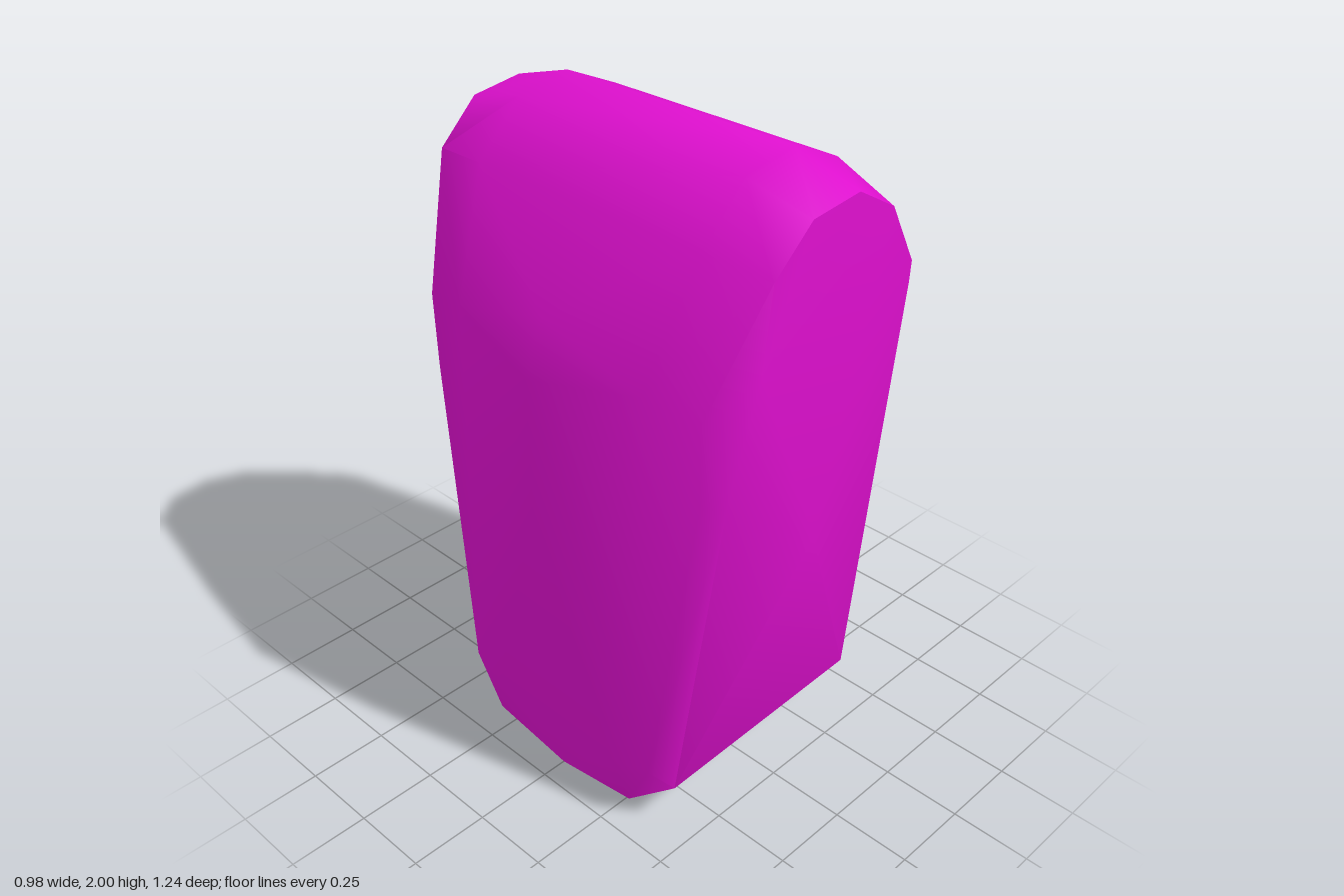
import * as THREE from 'three';
import { toCreasedNormals } from 'three/addons/utils/BufferGeometryUtils.js';
import { ConvexGeometry } from 'three/addons/geometries/ConvexGeometry.js';

// Corners mirrored to front and back: [x, y, z]
const MIRRORED = [
  // roof ridges
  [-0.27, 1.82, 0.41], [-0.12, 1.97, 0.41], [0.06, 2.0, 0.41], [0.24, 1.92, 0.405],
  // gable outline
  [-0.27, 1.56, 0.612], [-0.24, 1.8, 0.612], [-0.11, 1.92, 0.615], [0.06, 1.94, 0.618],
  [0.2, 1.86, 0.62], [0.3, 1.68, 0.62],
  // gable centre
  [-0.03, 0.97, 0.614], [-0.05, 0.72, 0.565],
  // right shoulder
  [0.395, 1.67, 0.355], [0.455, 1.6, 0.35], [0.415, 1.55, 0.54],
  // left shoulder
  [-0.42, 1.46, 0.35], [-0.385, 1.43, 0.52], [-0.38, 1.19, 0.52], [-0.335, 1.19, 0.57],
  // foot
  [0.38, 0.19, 0.445], [0.48, 0.2, 0.25], [-0.37, 0.15, 0.43], [-0.43, 0.22, 0.38],
  [-0.45, 0.2, 0.25], [0.46, 0.05, 0.29], [-0.42, 0.045, 0.29],
];

// Corners on the middle plane
const MIDDLE = [
  [-0.43, 1.56, 0], [-0.492, 1.4, 0], [-0.492, 1.0, 0],
  [0.49, 1.53, 0.01], [0.46, 0.015, 0], [-0.42, 0, 0],
];

export function createModel() {
  const group = new THREE.Group();
  const magenta = new THREE.MeshStandardMaterial({ color: 0xe010d0 });
  magenta.name = 'magenta';

  const points = MIDDLE.map((p) => new THREE.Vector3(...p));
  for (const [x, y, z] of MIRRORED) {
    points.push(new THREE.Vector3(x, y, z), new THREE.Vector3(x, y, -z));
  }

  // Faceted stone with softly shaded facets
  const stone = new THREE.Mesh(toCreasedNormals(new ConvexGeometry(points), 0.85), magenta);
  stone.name = 'crystalStone';
  group.add(stone);
  return group;
}
